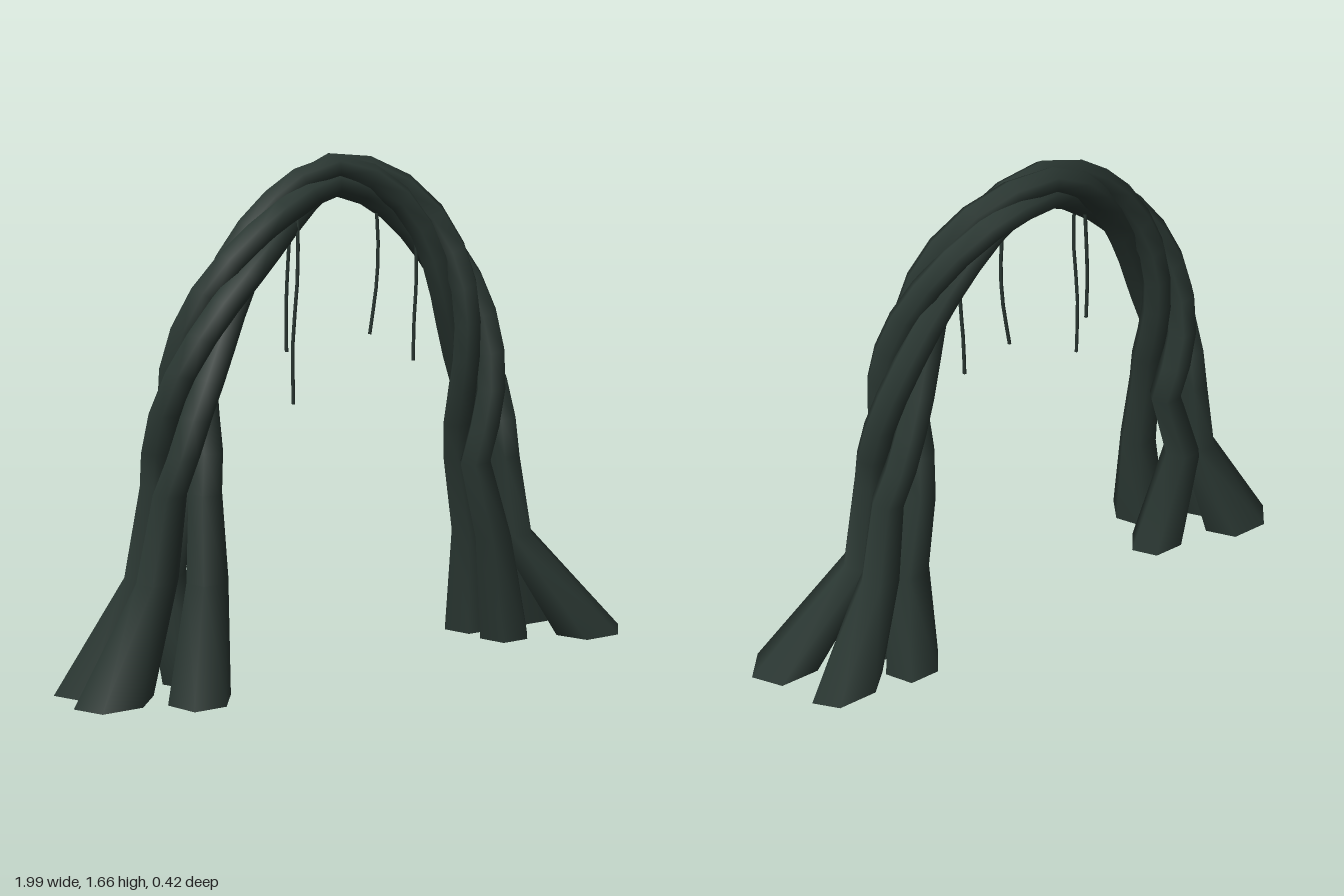
import * as THREE from 'three';

const V = (x, y, z) => new THREE.Vector3(x, y, z);
const SIDES = 6, BODY_RINGS = 20, TURNS = 1.5;
const bark = new THREE.MeshStandardMaterial({ color: 0x2a3732, side: THREE.DoubleSide });

// Centre line of the arch between the points where the roots begin to spread, from +x to -x
const arch = new THREE.CatmullRomCurve3([
  V(0.48, 0.66, -0.01), V(0.445, 0.98, 0.0), V(0.37, 1.25, -0.01), V(0.265, 1.45, -0.05),
  V(0.12, 1.57, -0.075), V(-0.06, 1.607, -0.075), V(-0.2, 1.535, -0.04), V(-0.36, 1.4, 0.01),
  V(-0.5, 1.2, 0.015), V(-0.585, 0.95, 0.005), V(-0.605, 0.66, -0.01),
]);

// Each strand: start angle about the centre line, then its root at both ends
// as a knee [x, z] where it starts to splay and an oval foot [x, z, radiusX, radiusZ]
const strands = [
  {
    phase: -45,
    start: { knee: [0.59, 0.03], foot: [0.86, 0.1, 0.13, 0.105] },
    end: { knee: [-0.645, -0.06], foot: [-0.55, -0.065, 0.11, 0.085] },
  },
  {
    phase: 45,
    start: { knee: [0.58, -0.07], foot: [0.75, -0.115, 0.13, 0.08] },
    end: { knee: [-0.56, 0.085], foot: [-0.605, 0.115, 0.105, 0.105] },
  },
  {
    phase: 135,
    start: { knee: [0.485, -0.09], foot: [0.515, -0.13, 0.1, 0.095] },
    end: { knee: [-0.7, 0.02], foot: [-0.85, 0.015, 0.13, 0.095] },
  },
  {
    phase: 225,
    start: { knee: [0.5, 0.045], foot: [0.57, 0.01, 0.095, 0.09] },
    end: { knee: [-0.71, -0.06], foot: [-0.865, -0.125, 0.135, 0.1] },
  },
];

// Smooth tube through rings of { c: centre, n: outward direction, rx, rz: radii }
function ringTube(rings) {
  const pos = [], index = [];
  rings.forEach(({ c, n, rx, rz }, i) => {
    for (let j = 0; j < SIDES; j++) {
      const a = (j / SIDES) * Math.PI * 2;
      const p = c.clone().addScaledVector(n, rx * Math.cos(a));
      pos.push(p.x, p.y, p.z - rz * Math.sin(a));
      if (i < rings.length - 1) {
        const k = (j + 1) % SIDES, A = i * SIDES, B = A + SIDES;
        index.push(A + j, A + k, B + j, A + k, B + k, B + j);
      }
    }
  });
  const g = new THREE.BufferGeometry();
  g.setAttribute('position', new THREE.Float32BufferAttribute(pos, 3));
  g.setIndex(index);
  g.computeVertexNormals();
  return g;
}

// Knee and foot rings of one root, flaring straight down to the ground
function rootRings({ knee: [kx, kz], foot: [x, z, rx, rz] }) {
  const n = V(Math.sign(x), 0, 0);
  return [
    { c: V(kx, 0.385, kz), n, rx: 0.07, rz: 0.066 },
    { c: V(x, 0.012, z), n, rx, rz },
  ];
}

function strandGeometry({ phase, start, end }) {
  const body = [];
  for (let i = 0; i <= BODY_RINGS; i++) {
    const u = i / BODY_RINGS, s = Math.abs(2 * u - 1);
    const t = arch.getTangentAt(u);
    const n = V(t.y, -t.x, 0).normalize();
    const a = THREE.MathUtils.degToRad(phase) + u * TURNS * Math.PI * 2;
    const off = 0.036 + 0.046 * s ** 1.5;
    const c = arch.getPointAt(u).addScaledVector(n, off * Math.cos(a));
    c.z -= off * Math.sin(a);
    const r = 0.042 + 0.014 * s;
    body.push({ c, n, rx: r, rz: r });
  }
  return ringTube([...rootRings(start).reverse(), ...body, ...rootRings(end)]);
}

// Thin hanging vines
const vines = [
  [V(-0.21, 1.48, 0.015), V(-0.215, 1.3, 0.02), V(-0.23, 1.1, 0.015), V(-0.23, 0.9, 0.015)],
  [V(-0.21, 1.48, -0.04), V(-0.22, 1.35, -0.04), V(-0.228, 1.2, -0.04), V(-0.23, 1.06, -0.035)],
  [V(0.105, 1.54, -0.07), V(0.115, 1.38, -0.07), V(0.11, 1.26, -0.07), V(0.085, 1.09, -0.07)],
  [V(0.225, 1.42, -0.02), V(0.23, 1.28, -0.02), V(0.222, 1.13, -0.02), V(0.22, 1.0, -0.02)],
];

export function createModel() {
  const model = new THREE.Group();
  model.name = 'twistedArch';

  strands.forEach((s, i) => {
    const mesh = new THREE.Mesh(strandGeometry(s), bark);
    mesh.name = `trunkStrand${i + 1}`;
    model.add(mesh);
  });

  vines.forEach((points, i) => {
    const curve = new THREE.CatmullRomCurve3(points);
    const mesh = new THREE.Mesh(new THREE.TubeGeometry(curve, 6, 0.006, 5), bark);
    mesh.name = `hangingVine${i + 1}`;
    model.add(mesh);
  });

  return model;
}
